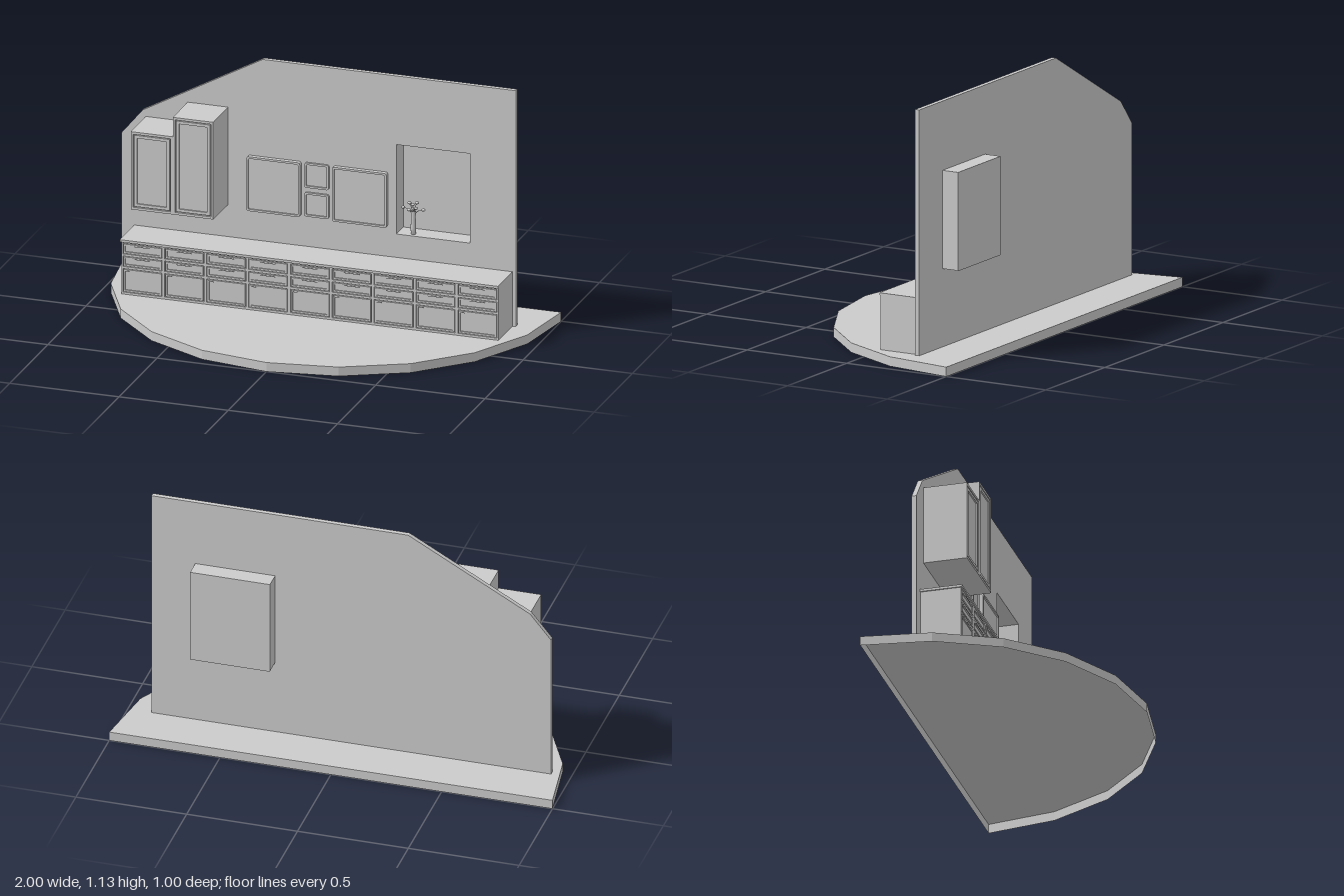
import * as THREE from 'three';

const grey = new THREE.MeshStandardMaterial({ color: 0xcccccc, side: THREE.DoubleSide });

function add(parent, name, geometry, x = 0, y = 0, z = 0) {
  const mesh = new THREE.Mesh(geometry, grey);
  mesh.name = name;
  mesh.position.set(x, y, z);
  parent.add(mesh);
  return mesh;
}

// Box given by its limits on each axis
function block(parent, name, x0, x1, y0, y1, z0, z1) {
  return add(parent, name, new THREE.BoxGeometry(x1 - x0, y1 - y0, z1 - z0),
    (x0 + x1) / 2, (y0 + y1) / 2, (z0 + z1) / 2);
}

// Rectangle outline, with rounded corners when r > 0
function rect(x0, x1, y0, y1, Type = THREE.Shape, r = 0) {
  const s = new Type();
  if (r === 0) {
    s.moveTo(x0, y0).lineTo(x1, y0).lineTo(x1, y1).lineTo(x0, y1).closePath();
    return s;
  }
  s.absarc(x1 - r, y1 - r, r, 0, Math.PI / 2);
  s.absarc(x0 + r, y1 - r, r, Math.PI / 2, Math.PI);
  s.absarc(x0 + r, y0 + r, r, Math.PI, Math.PI * 1.5);
  s.absarc(x1 - r, y0 + r, r, Math.PI * 1.5, Math.PI * 2);
  return s;
}

const extrude = (shape, depth) => new THREE.ExtrudeGeometry(shape, { depth, bevelEnabled: false, curveSegments: 5 });

// Raised border around a recessed panel
function framedPanel(parent, name, x0, x1, y0, y1, z0, z1, border, recess, r = 0) {
  const g = new THREE.Group();
  g.name = name;
  const s = rect(x0, x1, y0, y1, THREE.Shape, r);
  s.holes.push(rect(x0 + border, x1 - border, y0 + border, y1 - border, THREE.Path, r * 0.5));
  add(g, 'frame', extrude(s, z1 - z0), 0, 0, z0);
  block(g, 'panel', x0 + border, x1 - border, y0 + border, y1 - border, z0, z1 - recess);
  parent.add(g);
}

// Half-round platform: a top plate and a skirt, open underneath
function buildFloor(root) {
  const half = [[1, -0.5], [0.953, -0.19], [0.81, 0.09], [0.593, 0.307], [0.312, 0.45]];
  const pts = [...half, [0, 0.5], ...half.map(([x, z]) => [-x, z]).reverse()];
  const top = 0.042;
  const g = new THREE.Group();
  g.name = 'floor';
  const shape = new THREE.Shape(pts.map(([x, z]) => new THREE.Vector2(x, -z)));
  add(g, 'floorTop', new THREE.ShapeGeometry(shape).rotateX(-Math.PI / 2), 0, top, 0);
  pts.forEach(([x, z], i) => {
    const [nx, nz] = pts[(i + 1) % pts.length];
    const side = new THREE.PlaneGeometry(Math.hypot(nx - x, nz - z), top);
    const mesh = add(g, 'floorEdge', side, (x + nx) / 2, top / 2, (z + nz) / 2);
    mesh.rotation.y = Math.atan2(nz - z, x - nx);
  });
  root.add(g);
}

function buildWall(root) {
  const outline = [[-0.93, 0.042], [0.873, 0.042], [0.873, 1.132], [-0.285, 1.132], [-0.835, 0.83], [-0.93, 0.715]];
  const shape = new THREE.Shape(outline.map(p => new THREE.Vector2(...p)));
  shape.holes.push(rect(0.327, 0.663, 0.402, 0.815, THREE.Path));
  add(root, 'wall', extrude(shape, 0.021), 0, 0, -0.289);

  // Niche: a shallow open box behind the wall opening
  const niche = new THREE.Group();
  niche.name = 'niche';
  const rim = rect(0.315, 0.675, 0.389, 0.825);
  rim.holes.push(rect(0.327, 0.663, 0.402, 0.815, THREE.Path));
  add(niche, 'nicheSides', extrude(rim, 0.07), 0, 0, -0.359);
  block(niche, 'nicheBack', 0.315, 0.675, 0.387, 0.825, -0.367, -0.359);
  root.add(niche);
}

function buildBaseCabinets(root) {
  const g = new THREE.Group();
  g.name = 'baseCabinets';
  block(g, 'carcass', -0.867, 0.857, 0.042, 0.283, -0.268, -0.092);
  block(g, 'counter', -0.873, 0.857, 0.283, 0.294, -0.268, -0.079);
  const n = 9, step = 1.724 / n;
  const rows = [[0.228, 0.277], [0.17, 0.218], [0.052, 0.16]];
  // Face frame with one opening per drawer or door
  const face = rect(-0.867, 0.857, 0.042, 0.283);
  for (let i = 0; i < n; i++) {
    const x0 = -0.867 + i * step + 0.006, x1 = x0 + step - 0.012, mid = (x0 + x1) / 2;
    rows.forEach(([y0, y1], r) => {
      face.holes.push(rect(x0, x1, y0, y1, THREE.Path));
      framedPanel(g, r < 2 ? 'drawer' : 'cupboardDoor',
        x0 + 0.003, x1 - 0.003, y0 + 0.003, y1 - 0.003, -0.092, -0.084, 0.008, 0.005);
      // Bars on drawers, a small pull in the upper corner of doors
      const w = r < 2 ? 0.035 : 0.012, hx = r < 2 ? mid : x0 + 0.022;
      block(g, 'handle', hx - w, hx + w, y1 - 0.011, y1 - 0.007, -0.086, -0.082);
    });
  }
  add(g, 'faceFrame', extrude(face, 0.007), 0, 0, -0.092);
  root.add(g);
}

function buildWallCabinets(root) {
  for (const [x0, x1, top] of [[-0.82, -0.628, 0.802], [-0.628, -0.443, 0.892]]) {
    const g = new THREE.Group();
    g.name = 'wallCabinet';
    block(g, 'cabinetBody', x0, x1, 0.443, top, -0.268, -0.086);
    framedPanel(g, 'cabinetRim', x0, x1, 0.443, top, -0.086, -0.072, 0.011, 0.01);
    framedPanel(g, 'cabinetDoor', x0 + 0.015, x1 - 0.015, 0.458, top - 0.015, -0.083, -0.073, 0.013, 0.006);
    root.add(g);
  }
}

function buildPictures(root) {
  const frames = [
    [-0.353, -0.108, 0.432, 0.683, -0.247],
    [0.039, 0.288, 0.432, 0.683, -0.247],
    [-0.092, 0.02, 0.568, 0.683, -0.258],
    [-0.092, 0.02, 0.435, 0.546, -0.258],
  ];
  for (const [x0, x1, y0, y1, front] of frames) {
    framedPanel(root, 'pictureFrame', x0, x1, y0, y1, -0.268, front, 0.009, 0.007, 0.01);
  }
}

function buildVase(root) {
  const g = new THREE.Group();
  g.name = 'flowerVase';
  g.position.set(0.395, 0.402, -0.295);
  const profile = [[0, 0], [0.011, 0], [0.012, 0.03], [0.01, 0.08], [0.012, 0.105], [0.009, 0.105], [0.007, 0.08]];
  add(g, 'vase', new THREE.LatheGeometry(profile.map(p => new THREE.Vector2(...p)), 14));
  // Stems curve outward, each ending in a small bloom
  const tips = [[-0.042, 0.122, 0.012], [-0.022, 0.136, -0.012], [0, 0.137, 0.008], [0.018, 0.127, 0.02],
    [0.046, 0.115, 0], [0.012, 0.14, -0.012], [-0.012, 0.118, 0.024]];
  for (const [x, y, z] of tips) {
    const curve = new THREE.QuadraticBezierCurve3(new THREE.Vector3(0, 0.06, 0),
      new THREE.Vector3(x * 0.1, 0.115, z * 0.1), new THREE.Vector3(x, y, z));
    add(g, 'stem', new THREE.TubeGeometry(curve, 8, 0.0014, 5));
    add(g, 'bloom', new THREE.SphereGeometry(0.009, 8, 6), x, y, z).scale.y = 0.7;
  }
  root.add(g);
}

export function createModel() {
  const root = new THREE.Group();
  root.name = 'kitchenWall';
  buildFloor(root);
  buildWall(root);
  buildBaseCabinets(root);
  buildWallCabinets(root);
  buildPictures(root);
  buildVase(root);
  return root;
}
